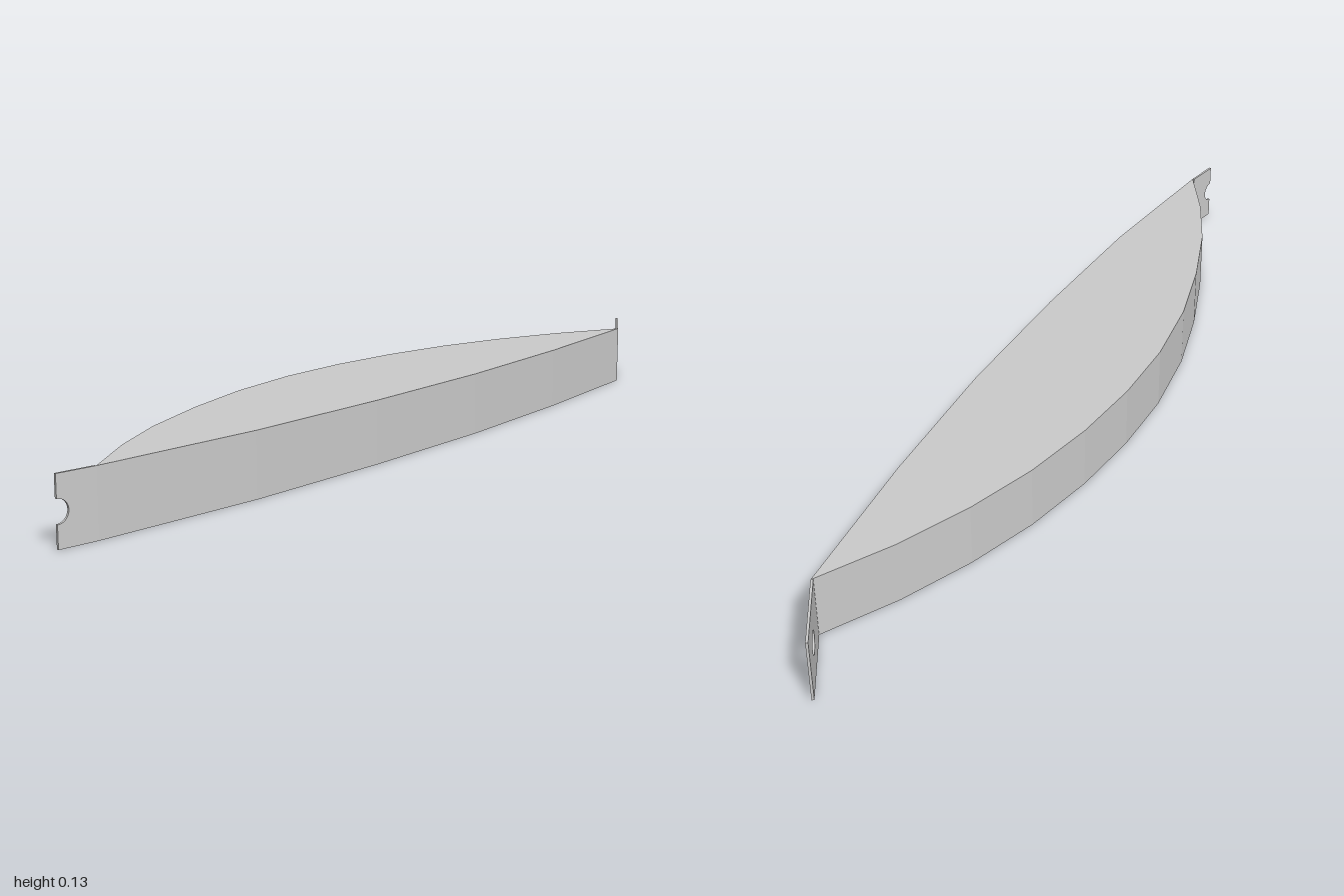
import * as THREE from 'three';

const H = 0.133;      // height of the whole strip
const T = 0.005;      // tab thickness
const HOLE = 0.0225;  // bolt hole radius

const material = () => new THREE.MeshStandardMaterial({ color: 0xcccccc, flatShading: true });

// Thin upright plate whose front face runs from (x0, z0) to (x1, z1)
function makeTab(name, [x0, z0], [x1, z1], draw) {
  const shape = new THREE.Shape();
  draw(shape, Math.hypot(x1 - x0, z1 - z0));
  const geo = new THREE.ExtrudeGeometry(shape, { depth: T, bevelEnabled: false, curveSegments: 16 });
  geo.translate(0, 0, -T);
  const mesh = new THREE.Mesh(geo, material());
  mesh.name = name;
  mesh.position.set(x0, 0, z0);
  mesh.rotation.y = Math.atan2(z0 - z1, x1 - x0);
  return mesh;
}

export function createModel() {
  const group = new THREE.Group();
  group.name = 'curvedBracket';

  // Solid body: plan outline with a shallow front curve and a deep back curve
  const front = [[-0.92, 0.151], [-0.55, 0.166], [-0.2, 0.158], [0.15, 0.137], [0.5, 0.097], [0.86, 0.041]];
  const back = [[0.7, -0.036], [0.54, -0.094], [0.38, -0.135], [0.21, -0.159], [0.04, -0.166], [-0.13, -0.156],
    [-0.31, -0.124], [-0.48, -0.073], [-0.65, -0.007], [-0.79, 0.066]];
  const outline = new THREE.Shape([...front, ...back].map(([x, z]) => new THREE.Vector2(x, -z)));
  const bodyGeo = new THREE.ExtrudeGeometry(outline, { depth: H, bevelEnabled: false });
  bodyGeo.rotateX(-Math.PI / 2);
  const body = new THREE.Mesh(bodyGeo, material());
  body.name = 'body';
  group.add(body);

  // Left tab with a round bolt hole
  group.add(makeTab('leftTab', [0.86, 0.041], [1, -0.052], (s, len) => {
    s.moveTo(0, 0).lineTo(len, 0).lineTo(len, H).lineTo(0, H).closePath();
    const hole = new THREE.Path();
    hole.absarc(len * 0.555, H / 2, HOLE, 0, Math.PI * 2, true);
    s.holes.push(hole);
  }));

  // Right tab, cut off through its bolt hole
  group.add(makeTab('rightTab', [-1, 0.142], [-0.92, 0.151], (s, len) => {
    s.moveTo(0, 0).lineTo(len, 0).lineTo(len, H).lineTo(0, H).lineTo(0, H / 2 + HOLE);
    s.absarc(0.001, H / 2, HOLE, Math.PI / 2, -Math.PI / 2, true);
    s.lineTo(0, H / 2 - HOLE).closePath();
  }));

  return group;
}
